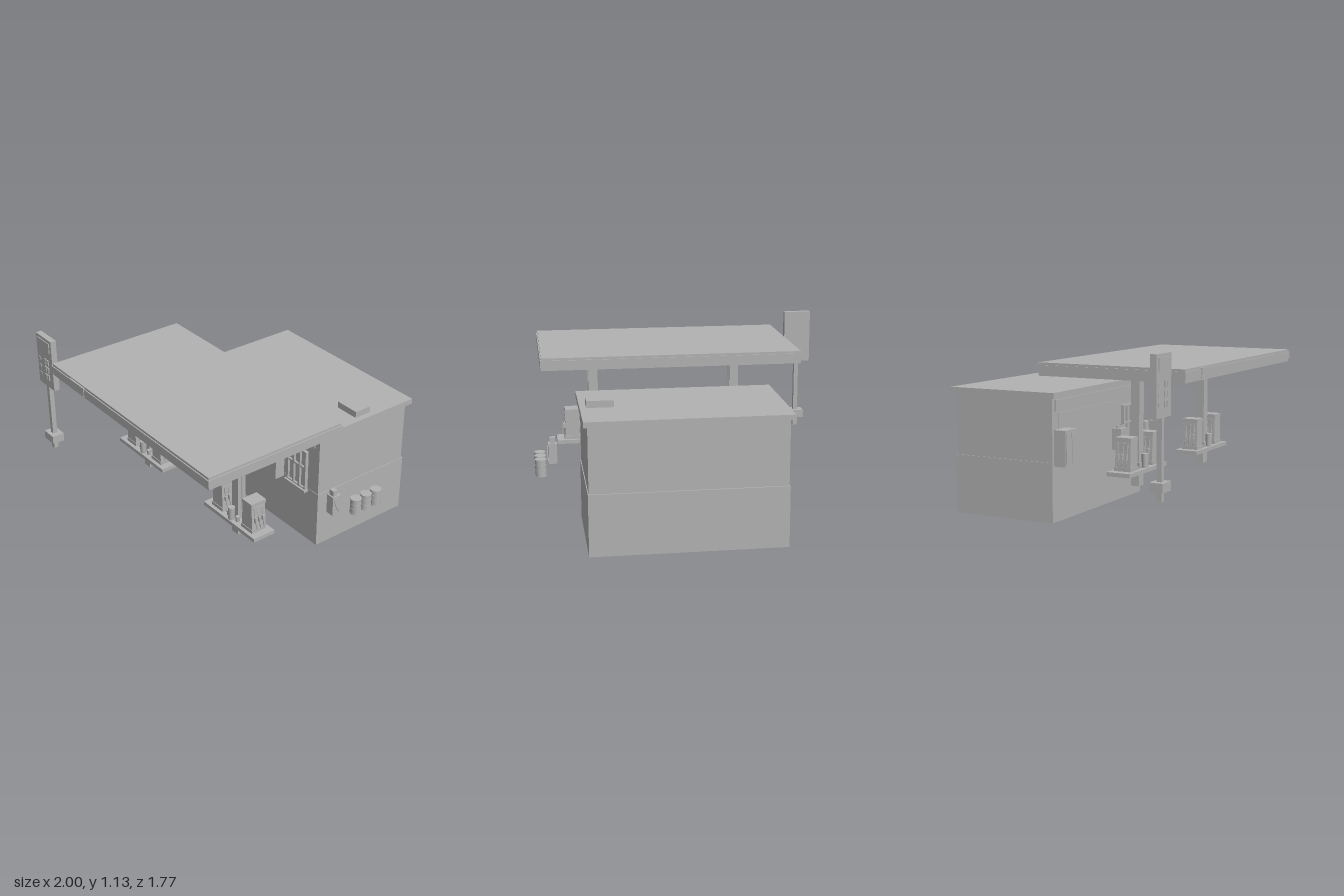
import * as THREE from 'three';

const grey = new THREE.MeshStandardMaterial({ color: 0xb2b2b2 });
grey.name = 'plain grey';

function add(parent, name, geometry, x = 0, y = 0, z = 0) {
  const mesh = new THREE.Mesh(geometry, grey);
  mesh.name = name;
  mesh.position.set(x, y, z);
  parent.add(mesh);
  return mesh;
}

// Box given by its extents
function box(parent, name, x0, x1, y0, y1, z0, z1) {
  return add(parent, name, new THREE.BoxGeometry(x1 - x0, y1 - y0, z1 - z0),
    (x0 + x1) / 2, (y0 + y1) / 2, (z0 + z1) / 2);
}

function cylinder(parent, name, r0, r1, h, x, y, z, sides = 16) {
  return add(parent, name, new THREE.CylinderGeometry(r1, r0, h, sides), x, y, z);
}

function tube(parent, name, points, radius = 0.003) {
  const curve = new THREE.CatmullRomCurve3(points.map(p => new THREE.Vector3(...p)));
  return add(parent, name, new THREE.TubeGeometry(curve, 14, radius, 6));
}

function group(parent, name, x = 0, y = 0, z = 0) {
  const g = new THREE.Group();
  g.name = name;
  g.position.set(x, y, z);
  parent.add(g);
  return g;
}

function buildShop(model) {
  const shop = group(model, 'shop');
  box(shop, 'foundation', -0.495, 0.705, 0, 0.383, -0.862, -0.132);
  box(shop, 'walls', -0.49, 0.70, 0.383, 0.79, -0.852, -0.135);
  box(shop, 'roof', -0.515, 0.725, 0.79, 0.825, -0.885, -0.11);
  box(shop, 'roofUnit', 0.52, 0.685, 0.825, 0.867, -0.556, -0.436);
  box(shop, 'fasciaBoard', -0.46, 0.66, 0.705, 0.775, -0.135, -0.126);
  box(shop, 'shopGlass', -0.42, 0.345, 0.383, 0.69, -0.135, -0.130);

  // Framed window on the right of the front wall
  const win = group(shop, 'window');
  box(win, 'pane', 0.43, 0.59, 0.38, 0.64, -0.135, -0.128);
  for (const x of [0.42, 0.475, 0.532, 0.587])
    box(win, 'mullion', x, x + 0.013, 0.37, 0.65, -0.135, -0.112);
  for (const y of [0.37, 0.52, 0.637])
    box(win, 'rail', 0.42, 0.60, y, y + 0.013, -0.135, -0.114);
  box(win, 'sill', 0.41, 0.61, 0.36, 0.374, -0.135, -0.10);

  // Ice chest against the front wall
  const chest = group(shop, 'iceChest');
  box(chest, 'chestBody', -0.48, -0.34, 0.36, 0.59, -0.13, -0.045);
  for (const x of [-0.475, -0.407])
    box(chest, 'chestDoor', x, x + 0.062, 0.38, 0.57, -0.045, -0.04);

  // Rack of gas bottles
  const rack = group(shop, 'bottleRack');
  box(rack, 'rackBody', 0.28, 0.375, 0.36, 0.505, -0.13, -0.06);
  for (let i = 0; i < 4; i++)
    cylinder(rack, 'bottleTop', 0.009, 0.008, 0.022, 0.292 + i * 0.0237, 0.516, -0.09, 10);
}

function buildYard(model) {
  // Air pump and its hose
  const air = group(model, 'airPump');
  box(air, 'airPumpBody', 0.85, 0.905, 0.363, 0.493, -0.137, -0.075);
  box(air, 'airPumpHead', 0.86, 0.895, 0.493, 0.53, -0.12, -0.085);
  tube(air, 'airHose', [[0.908, 0.47, -0.085], [0.91, 0.42, -0.10], [0.908, 0.38, -0.125]]);

  // Row of hooped drums
  const drums = group(model, 'drums');
  for (const z of [-0.213, -0.296, -0.378]) {
    cylinder(drums, 'drum', 0.034, 0.034, 0.107, 0.96, 0.416, z, 20);
    for (const y of [0.365, 0.4, 0.434, 0.467])
      cylinder(drums, 'hoop', 0.036, 0.036, 0.005, 0.96, y, z, 20);
  }
}

function buildCanopy(model) {
  const canopy = group(model, 'canopy');
  box(canopy, 'canopySlab', -0.728, 0.933, 0.953, 1.033, -0.083, 0.877);
  box(canopy, 'edgeBand', -0.735, 0.94, 0.972, 1.018, -0.09, 0.884);
  box(canopy, 'frontPlaque', -0.515, -0.345, 0.965, 1.025, 0.877, 0.888);
  for (const x of [-0.55, -0.11, 0.32, 0.76])
    for (const z of [0.147, 0.65])
      cylinder(canopy, 'lamp', 0.03, 0.042, 0.01, x, 0.948, z);
}

// Pump facing both ways along x, with three hoses per side
function buildPump(parent, x) {
  const pump = group(parent, 'fuelPump', x, 0.385, 0);
  box(pump, 'pumpBase', -0.052, 0.052, 0, 0.025, -0.055, 0.055);
  const body = box(pump, 'pumpBody', -0.049, 0.049, 0.025, 0.185, -0.051, 0.051);
  const p = body.geometry.attributes.position;
  for (let i = 0; i < p.count; i++)
    if (p.getY(i) > 0) p.setX(i, p.getX(i) * 0.86);
  body.geometry.computeVertexNormals();
  box(pump, 'pumpHead', -0.045, 0.045, 0.18, 0.205, -0.055, 0.055);
  for (const s of [-1, 1]) {
    const screen = box(pump, 'screen', -0.003, 0.003, 0.125, 0.17, -0.035, 0.035);
    screen.position.x = s * 0.044;
    for (const z of [-0.028, 0, 0.028]) {
      const nozzle = box(pump, 'nozzle', -0.009, 0.009, 0.075, 0.105, z - 0.006, z + 0.006);
      nozzle.position.x = s * 0.052;
      tube(pump, 'hose', [[s * 0.046, 0.16, z], [s * 0.056, 0.12, z + 0.006],
        [s * 0.07, 0.05, z + 0.004], [s * 0.064, 0.035, z], [s * 0.055, 0.08, z]], 0.0025);
    }
  }
}

function buildIsland(model, x) {
  const island = group(model, 'pumpIsland', x, 0, 0.398);
  box(island, 'islandSlab', -0.25, 0.25, 0.362, 0.387, -0.078, 0.078);
  box(island, 'canopyPost', -0.03, 0.03, 0.273, 0.955, -0.028, 0.028);
  cylinder(island, 'downpipe', 0.005, 0.005, 0.5, 0.035, 0.703, 0, 8);
  buildPump(island, -0.142);
  buildPump(island, 0.148);
  // Litter bin, window-wash bucket and bollards around the post
  cylinder(island, 'litterBin', 0.02, 0.022, 0.085, 0, 0.43, 0.054, 12);
  box(island, 'towelBox', -0.02, 0.02, 0.43, 0.475, -0.076, -0.028);
  for (const s of [-1, 1])
    cylinder(island, 'bucket', 0.012, 0.014, 0.035, s * 0.044, 0.404, 0.04, 10);
}

function buildPriceSign(model) {
  const sign = group(model, 'priceSign', -0.908, 0, 0.815);
  box(sign, 'signStub', -0.016, 0.016, 0.305, 0.37, -0.016, 0.016);
  box(sign, 'signFooting', -0.054, 0.054, 0.365, 0.42, -0.042, 0.042);
  box(sign, 'signPole', -0.015, 0.015, 0.42, 0.79, -0.016, 0.016);
  box(sign, 'signPanel', -0.092, 0.092, 0.78, 1.135, -0.02, 0.02);
  box(sign, 'signHeader', -0.07, 0.07, 1.04, 1.115, 0.02, 0.026);
  for (let row = 0; row < 3; row++) {
    const y = 0.845 + row * 0.055;
    box(sign, 'priceLabel', -0.07, -0.05, y, y + 0.02, 0.02, 0.025);
    for (const x of [0, 0.028])
      box(sign, 'pricePlate', x, x + 0.02, y - 0.008, y + 0.03, 0.02, 0.028);
  }
}

export function createModel() {
  const model = new THREE.Group();
  model.name = 'fuelStation';
  buildShop(model);
  buildYard(model);
  buildCanopy(model);
  for (const x of [-0.373, 0.58]) buildIsland(model, x);
  buildPriceSign(model);
  return model;
}
